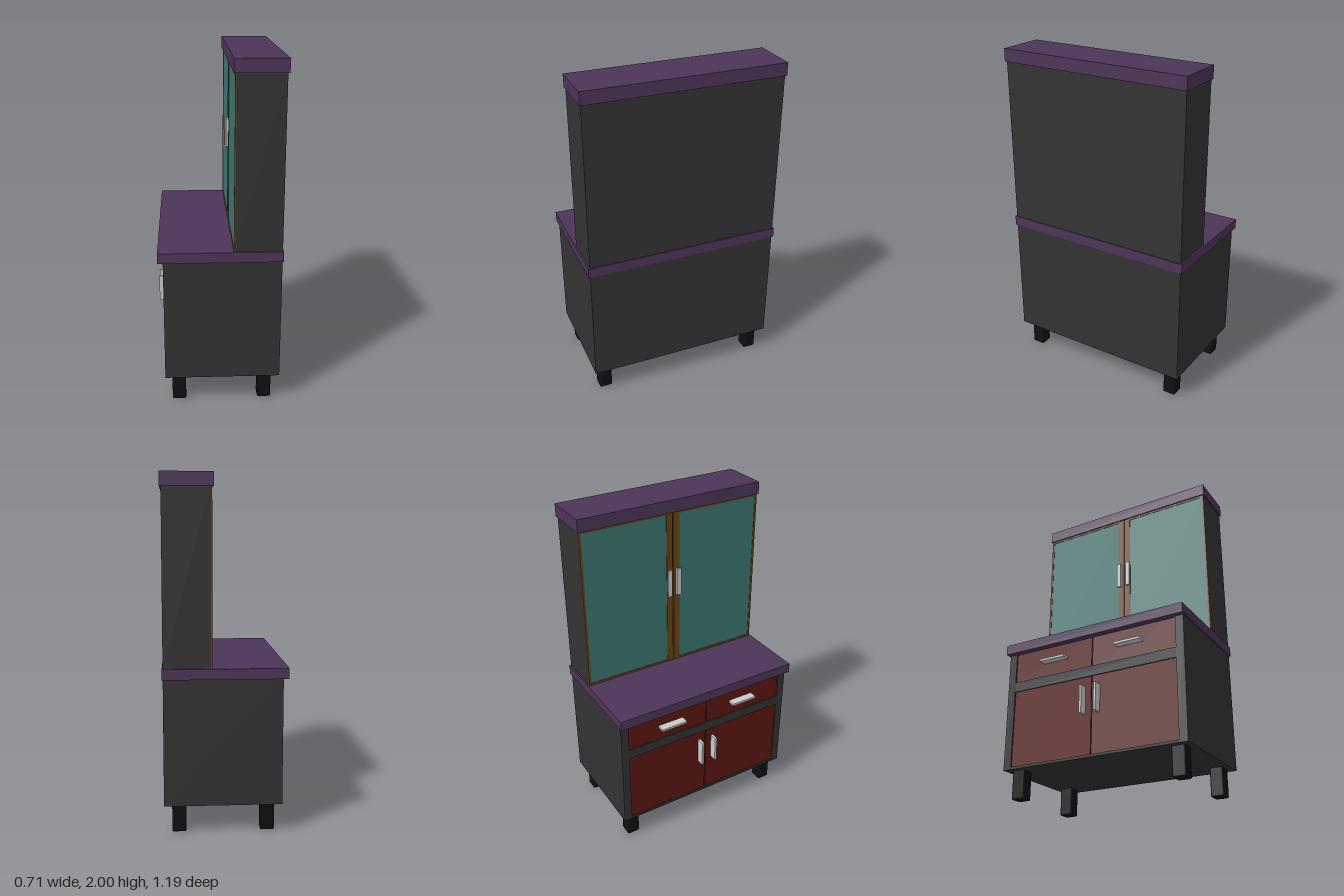
import * as THREE from 'three';
import { RoundedBoxGeometry } from 'three/addons/geometries/RoundedBoxGeometry.js';

const mat = (color) => new THREE.MeshStandardMaterial({ color });

export function createModel() {
  const model = new THREE.Group();
  const dark = mat(0x333333), purple = mat(0x4d3558), red = mat(0x5c1611);
  const teal = mat(0x3b7772), brown = mat(0x6a4216), black = mat(0x101010), metal = mat(0xcccccc);

  // Box given by its extents on each axis
  function box(name, material, [x0, x1], [y0, y1], [z0, z1], parent = model) {
    const mesh = new THREE.Mesh(
      new THREE.BoxGeometry(Math.abs(x1 - x0), Math.abs(y1 - y0), Math.abs(z1 - z0)), material);
    mesh.position.set((x0 + x1) / 2, (y0 + y1) / 2, (z0 + z1) / 2);
    mesh.name = name;
    parent.add(mesh);
    return mesh;
  }

  // Lower cabinet: core plus face frame around the doors and drawers
  box('lowerCabinet', dark, [-0.305, 0.345], [0.165, 0.885], [-0.585, 0.585]);
  const faceX = [-0.32, -0.305];
  box('middleRail', dark, faceX, [0.64, 0.7], [-0.535, 0.535]);
  box('bottomRail', dark, faceX, [0.165, 0.18], [-0.535, 0.535]);

  // Worktop, upper cabinet and cornice
  box('worktop', purple, [-0.35, 0.35], [0.885, 0.945], [-0.595, 0.595]);
  box('upperCabinet', dark, [0.08, 0.345], [0.945, 1.925], [-0.585, 0.585]);
  box('cornice', purple, [0.065, 0.355], [1.925, 2], [-0.592, 0.592]);

  for (const s of [-1, 1]) {
    const side = (a, b) => [s * a, s * b];
    box('sideStile', dark, faceX, [0.165, 0.885], side(0.535, 0.585));

    // Drawer and lower door, slightly recessed in the frame
    box('drawer', red, [-0.312, -0.304], [0.7, 0.883], side(0.003, 0.535));
    box('lowerDoor', red, [-0.312, -0.304], [0.18, 0.64], side(0.003, 0.535));
    box('drawerHandle', metal, [-0.36, -0.311], [0.783, 0.797], side(0.167, 0.333));
    box('lowerDoorHandle', metal, [-0.36, -0.311], [0.415, 0.58], side(0.04, 0.054));

    // Upper glazed door: frame strips around a pane
    const door = new THREE.Group();
    door.name = 'upperDoor';
    model.add(door);
    const frameX = [0.073, 0.081];
    box('innerStile', brown, frameX, [0.945, 1.925], side(0.003, 0.043), door);
    box('outerStile', brown, frameX, [0.945, 1.925], side(0.572, 0.585), door);
    box('lowerFrame', brown, frameX, [0.945, 0.958], side(0.043, 0.572), door);
    box('upperFrame', brown, frameX, [1.912, 1.925], side(0.043, 0.572), door);
    box('glassPane', teal, [0.076, 0.081], [0.958, 1.912], side(0.043, 0.572), door);

    // L-shaped pull: stem with a lip turned outward
    box('handleStem', metal, [0.055, 0.075], [1.405, 1.575], side(0.018, 0.026), door);
    box('handleLip', metal, [0.053, 0.062], [1.405, 1.575], side(0.018, 0.045), door);

    // Legs with softened edges
    for (const x of [-0.24, 0.26]) {
      const leg = new THREE.Mesh(new RoundedBoxGeometry(0.08, 0.17, 0.08, 2, 0.01), black);
      leg.name = 'leg';
      leg.position.set(x, 0.085, s * 0.508);
      model.add(leg);
    }
  }
  return model;
}
